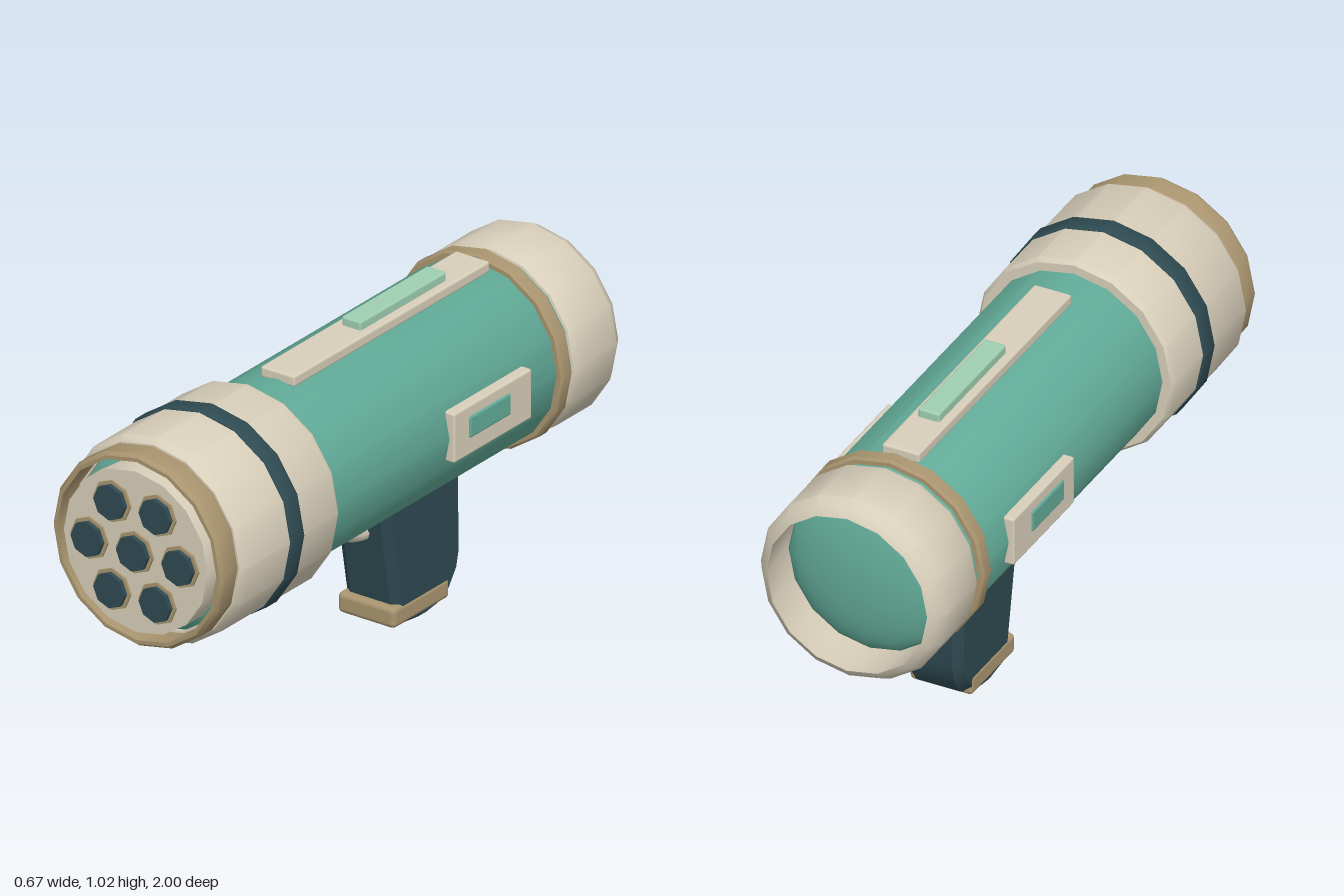
import * as THREE from 'three';
import { toCreasedNormals } from 'three/addons/utils/BufferGeometryUtils.js';
import { RoundedBoxGeometry } from 'three/addons/geometries/RoundedBoxGeometry.js';

const AXIS = 0.685; // height of the barrel axis

const flat = (name, color, side = THREE.FrontSide) => {
  const m = new THREE.MeshStandardMaterial({ color, side });
  m.name = name;
  return m;
};

export function createModel() {
  const cream = flat('cream', 0xd8cfba);
  const tan = flat('tan', 0xaa9570);
  const teal = flat('teal', 0x62ab98);
  const dark = flat('darkSlate', 0x2e4a51);
  const mint = flat('mint', 0x9fcfb2);

  const model = new THREE.Group();
  model.name = 'launcher';

  const add = (name, geometry, material, x = 0, y = 0, z = 0) => {
    const mesh = new THREE.Mesh(geometry, material);
    mesh.name = name;
    mesh.position.set(x, y, z);
    model.add(mesh);
    return mesh;
  };

  // Turned part along z; profile is [radius, z], outer wall running back to front
  const turned = (name, profile, material, sides = 16) => {
    const points = profile.map(([r, z]) => new THREE.Vector2(r, z));
    const g = new THREE.LatheGeometry(points, sides).rotateX(Math.PI / 2);
    return add(name, toCreasedNormals(g, 0.6), material, 0, AXIS, 0);
  };

  const box = (name, w, h, d, material, x, y, z, radius = 0.008) =>
    add(name, new RoundedBoxGeometry(w, h, d, 2, radius), material, x, y, z);

  // Main tube, with bevelled ends
  turned('body', [[0, -0.82], [0.27, -0.82], [0.288, -0.79], [0.288, 0.87], [0.26, 0.9], [0, 0.9]], teal);

  // Front collar, band and muzzle ring (hollow shells)
  turned('frontCollar', [
    [0.28, 0.42], [0.316, 0.42], [0.326, 0.435], [0.326, 0.87], [0.31, 0.893], [0.28, 0.893], [0.28, 0.42],
  ], cream);
  turned('collarBand', [
    [0.315, 0.602], [0.328, 0.602], [0.333, 0.61], [0.333, 0.66], [0.328, 0.668], [0.315, 0.668],
  ], dark);
  turned('muzzleRing', [
    [0.286, 0.888], [0.3, 0.888], [0.308, 0.9], [0.308, 0.96], [0.298, 0.974], [0.286, 0.974], [0.286, 0.888],
  ], tan);

  // Muzzle plate with seven octagonal ports
  turned('muzzlePlate', [[0, 0.9], [0.258, 0.9], [0.258, 0.979], [0, 0.979]], cream);
  for (let i = 0; i < 7; i++) {
    const a = (i * Math.PI) / 3;
    const d = i < 6 ? 0.163 : 0;
    const x = d * Math.cos(a), y = AXIS + d * Math.sin(a);
    const port = (name, r, z0, z1, material) => add(name,
      toCreasedNormals(new THREE.CylinderGeometry(r, r, z1 - z0, 8).rotateX(Math.PI / 2), 0.6),
      material, x, y, (z0 + z1) / 2);
    port('portRim', 0.067, 0.97, 0.986, tan);
    port('portCore', 0.056, 0.97, 1, dark);
  }

  // Rear ring, open bell and recessed dome
  turned('rearRing', [
    [0.28, -0.735], [0.302, -0.735], [0.309, -0.727], [0.309, -0.69], [0.302, -0.682], [0.28, -0.682], [0.28, -0.735],
  ], tan);
  turned('rearBell', [
    [0.262, -1], [0.286, -0.985], [0.306, -0.95], [0.306, -0.775], [0.296, -0.755], [0.27, -0.748],
    [0.27, -0.9], [0.262, -1],
  ], cream);
  const dome = [];
  for (let i = 0; i <= 8; i++) {
    const t = (i / 8) * (Math.PI / 2);
    dome.push([0.27 * Math.sin(t), -0.84 - 0.085 * Math.cos(t)]);
  }
  turned('rearDome', dome, teal);

  // Top rail and its inlay
  box('topRail', 0.122, 0.036, 0.955, cream, 0, 0.978, -0.188);
  box('topInlay', 0.07, 0.04, 0.42, mint, 0, 1.004, -0.28);

  // Side panels and buttons
  for (const s of [-1, 1]) {
    box('sidePanel', 0.04, 0.16, 0.38, cream, s * 0.285, 0.69, -0.35);
    box('sideButton', 0.04, 0.07, 0.2, teal, s * 0.291, 0.7, -0.332);
  }

  // Grip: side outline extruded across x with chamfered edges
  const outline = [
    [0.10, 0.46], [0.175, 0.03], [0.2, 0.012], [0.3, 0], [0.36, 0.008],
    [0.425, 0.04], [0.468, 0.1], [0.482, 0.16], [0.476, 0.46],
  ].map(([z, y]) => new THREE.Vector2(z, y));
  const gripGeo = new THREE.ExtrudeGeometry(new THREE.Shape(outline), {
    depth: 0.144, bevelThickness: 0.028, bevelSize: 0.022, bevelOffset: -0.022, bevelSegments: 1,
  }).translate(0, 0, -0.072).rotateY(Math.PI / 2);
  add('grip', toCreasedNormals(gripGeo, 0.45), dark);
  box('gripBase', 0.206, 0.066, 0.275, tan, 0, 0.058, -0.278, 0.016);

  // Curved trigger
  const path = new THREE.CatmullRomCurve3(
    [[0.45, -0.01], [0.39, -0.015], [0.345, -0.055], [0.325, -0.1], [0.318, -0.17]]
      .map(([y, z]) => new THREE.Vector3(0, y, z)));
  add('trigger', new THREE.TubeGeometry(path, 16, 0.027, 8), cream);

  return model;
}
